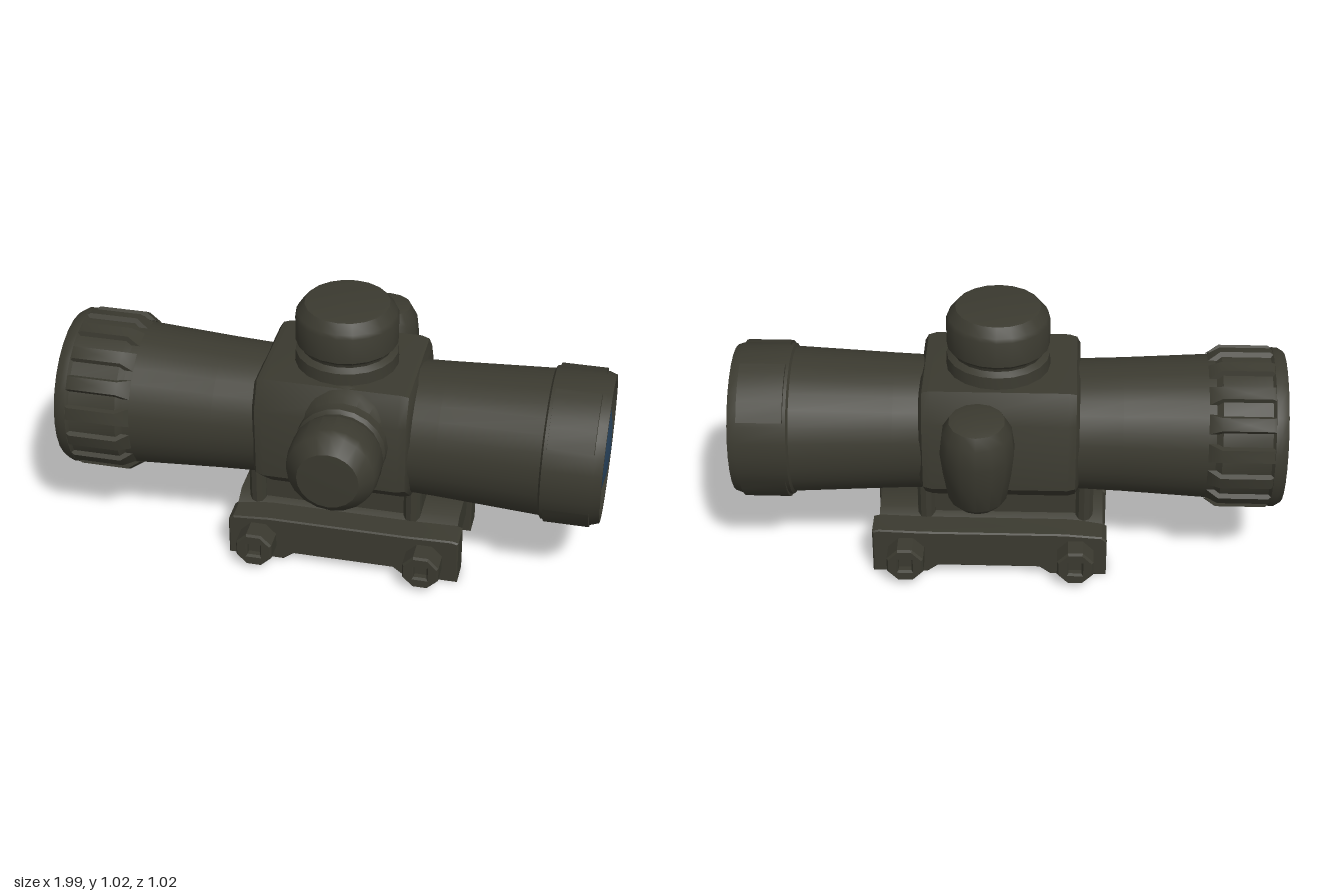
import * as THREE from 'three';
import { toCreasedNormals } from 'three/addons/utils/BufferGeometryUtils.js';

const AXIS_Y = 0.535; // height of the optical axis

export function createModel() {
  const root = new THREE.Group();
  root.name = 'opticalSight';
  const metal = new THREE.MeshStandardMaterial({ color: 0x3b3a30 });
  metal.name = 'dark olive metal';
  const glass = new THREE.MeshStandardMaterial({ color: 0x29435c });
  glass.name = 'blue glass';

  const add = (name, geo, mat = metal, parent = root, crease = 0.6) => {
    const mesh = new THREE.Mesh(toCreasedNormals(geo, crease), mat);
    mesh.name = name;
    parent.add(mesh);
    return mesh;
  };
  // points are [radius, distance along the axis]
  const lathe = (pts, seg = 24, start = 0, len = Math.PI * 2) =>
    new THREE.LatheGeometry(pts.map(p => new THREE.Vector2(...p)), seg, start, len);
  const alongX = g => g.rotateZ(-Math.PI / 2).translate(0, AXIS_Y, 0);
  const box = (x0, x1, y0, y1, z0, z1) => new THREE.BoxGeometry(x1 - x0, y1 - y0, z1 - z0)
    .translate((x0 + x1) / 2, (y0 + y1) / 2, (z0 + z1) / 2);
  const shapeOf = pts => new THREE.Shape(pts.map(p => new THREE.Vector2(...p)));

  // Tapered tube halves
  add('leftTube', alongX(lathe([[0.267, -0.78], [0.262, -0.72], [0.245, -0.42], [0.236, -0.2]], 28)));
  add('rightTube', alongX(lathe([[0.24, 0.2], [0.248, 0.4], [0.268, 0.79]], 28)));

  // Ribbed grip ring on the left end
  add('ribbedRing', alongX(lathe([[0.2, -0.955], [0.212, -0.965], [0.24, -1], [0.275, -1], [0.29, -0.975],
    [0.29, -0.955], [0.28, -0.945], [0.28, -0.77], [0.262, -0.745]], 28)));
  const ribs = 16;
  for (let i = 0; i < ribs; i++) {
    const rib = new THREE.CylinderGeometry(0.03, 0.045, 0.03, 4, 1)
      .rotateY(Math.PI / 4).scale(4.2, 1, 1.1).translate(-0.855, 0.279, 0)
      .rotateX(((i + 0.5) / ribs) * Math.PI * 2).translate(0, AXIS_Y, 0);
    add('gripRib', rib);
  }

  // Plain ring on the right end with raised panels
  add('rightRing', alongX(lathe([[0.262, 0.765], [0.278, 0.775], [0.278, 0.955], [0.268, 0.985], [0.245, 0.985],
    [0.232, 0.972], [0.212, 0.962], [0.2, 0.95]], 28)));
  const deg = Math.PI / 180;
  for (const [start, len] of [[-75, 46], [22, 58], [209, 46], [100, 58]]) {
    add('ringPanel', alongX(lathe([[0.265, 0.785], [0.287, 0.787], [0.287, 0.95], [0.265, 0.953]],
      6, start * deg, len * deg)));
  }

  // Domed lenses at both ends
  add('rightLens', alongX(lathe([[0.212, 0.956], [0.17, 0.972], [0.09, 0.988], [0, 0.994]], 28)), glass);
  add('leftLens', alongX(lathe([[0, -0.98], [0.09, -0.977], [0.17, -0.969], [0.212, -0.96]], 28)), glass);

  // Chamfered central housing
  const housing = new THREE.ExtrudeGeometry(shapeOf([
    [-0.12, 0.325], [0.12, 0.325], [0.23, 0.42], [0.235, 0.68], [0.19, 0.765],
    [-0.19, 0.765], [-0.235, 0.68], [-0.23, 0.42],
  ]), { depth: 0.49, bevelThickness: 0.04, bevelSize: 0.025, bevelSegments: 2, steps: 1 })
    .rotateY(Math.PI / 2).translate(-0.225, 0, 0);
  add('housing', housing);

  // Top adjustment turret
  add('topTurret', lathe([[0.19, 0.74], [0.185, 0.835], [0.165, 0.85], [0.168, 0.862], [0.185, 0.878], [0.185, 0.975],
    [0.178, 0.99], [0.152, 1.022], [0.14, 1.025], [0, 1.025]], 20).translate(0.03, 0, 0));

  // Front adjustment turret
  add('frontTurret', lathe([[0.19, 0.19], [0.178, 0.235], [0.162, 0.26], [0.162, 0.3], [0.15, 0.312], [0.155, 0.33],
    [0.164, 0.345], [0.164, 0.43], [0.156, 0.46], [0.11, 0.505], [0, 0.51]], 20)
    .rotateX(Math.PI / 2).translate(0.07, 0.605, 0));

  // Upright battery barrel behind the housing, leaning slightly
  add('batteryBarrel', lathe([[0, -0.178], [0.08, -0.178], [0.104, -0.15], [0.122, -0.04], [0.132, 0.05],
    [0.122, 0.13], [0.098, 0.172], [0.07, 0.18], [0, 0.18]], 14)
    .rotateX(-0.08).translate(0.09, 0.62, -0.378));
  add('barrelNeck', new THREE.CylinderGeometry(0.09, 0.12, 0.16, 12)
    .rotateX(-Math.PI / 2).translate(0.09, 0.61, -0.28));

  // Mount: pedestal with rounded posts, deck and side rails
  const mount = new THREE.Group();
  mount.name = 'mount';
  root.add(mount);
  add('pedestal', box(-0.3, 0.3, 0.17, 0.34, -0.085, 0.085), metal, mount);
  for (const x of [-0.29, 0.295]) for (const z of [-0.08, 0.08]) {
    add('pedestalPost', new THREE.CylinderGeometry(0.033, 0.033, 0.16, 10).translate(x, 0.25, z), metal, mount);
  }
  for (const x of [-0.29, 0.295]) add('postWeb', box(x - 0.033, x + 0.033, 0.17, 0.33, -0.08, 0.08), metal, mount);

  const deck = new THREE.ExtrudeGeometry(shapeOf([
    [-0.13, 0.085], [0.13, 0.085], [0.13, 0.165], [0.07, 0.2], [-0.07, 0.2], [-0.13, 0.165],
  ]), { depth: 0.83, bevelEnabled: false }).rotateY(Math.PI / 2).translate(-0.36, 0, 0);
  add('deck', deck, metal, mount);

  const railShape = shapeOf([[-0.37, 0.005], [-0.17, 0.005], [-0.13, 0.035], [0.25, 0.035], [0.29, 0.005], [0.485, 0.005],
    [0.485, 0.175], [0.465, 0.18], [0.3, 0.175], [-0.22, 0.175], [-0.355, 0.165], [-0.37, 0.15]]);
  for (const s of [-1, 1]) {
    add('sideRail', new THREE.ExtrudeGeometry(railShape,
      { depth: 0.095, bevelThickness: 0.006, bevelSize: 0.005, bevelSegments: 1 })
      .translate(0, 0, s * 0.158 - 0.0475), metal, mount, 0.4);
  }

  // Clamp bolts: a cross bar and a socketed knob at each side
  const knobShape = new THREE.Shape();
  for (let i = 0; i < 8; i++) {
    const a = (i + 0.5) * Math.PI / 4;
    knobShape[i ? 'lineTo' : 'moveTo'](0.066 * Math.cos(a), 0.066 * Math.sin(a));
  }
  knobShape.closePath();
  knobShape.holes.push(new THREE.Path([[-1, -1], [-1, 1], [1, 1], [1, -1]]
    .map(([x, y]) => new THREE.Vector2(x * 0.03, y * 0.03))));
  for (const x of [-0.26, 0.365]) {
    add('crossBar', box(x - 0.045, x + 0.045, 0.02, 0.1, -0.13, 0.13), metal, mount);
    for (const s of [-1, 1]) {
      const knob = new THREE.Group();
      knob.name = 'clampKnob';
      knob.position.set(x, 0.086, s * 0.2);
      knob.rotation.y = s > 0 ? 0 : Math.PI;
      mount.add(knob);
      add('knobBody', new THREE.ExtrudeGeometry(knobShape,
        { depth: 0.085, bevelThickness: 0.01, bevelSize: 0.006, bevelSegments: 1 }), metal, knob, 0.4);
      add('socketFloor', box(-0.035, 0.035, -0.035, 0.035, 0, 0.065), metal, knob);
    }
  }
  return root;
}
